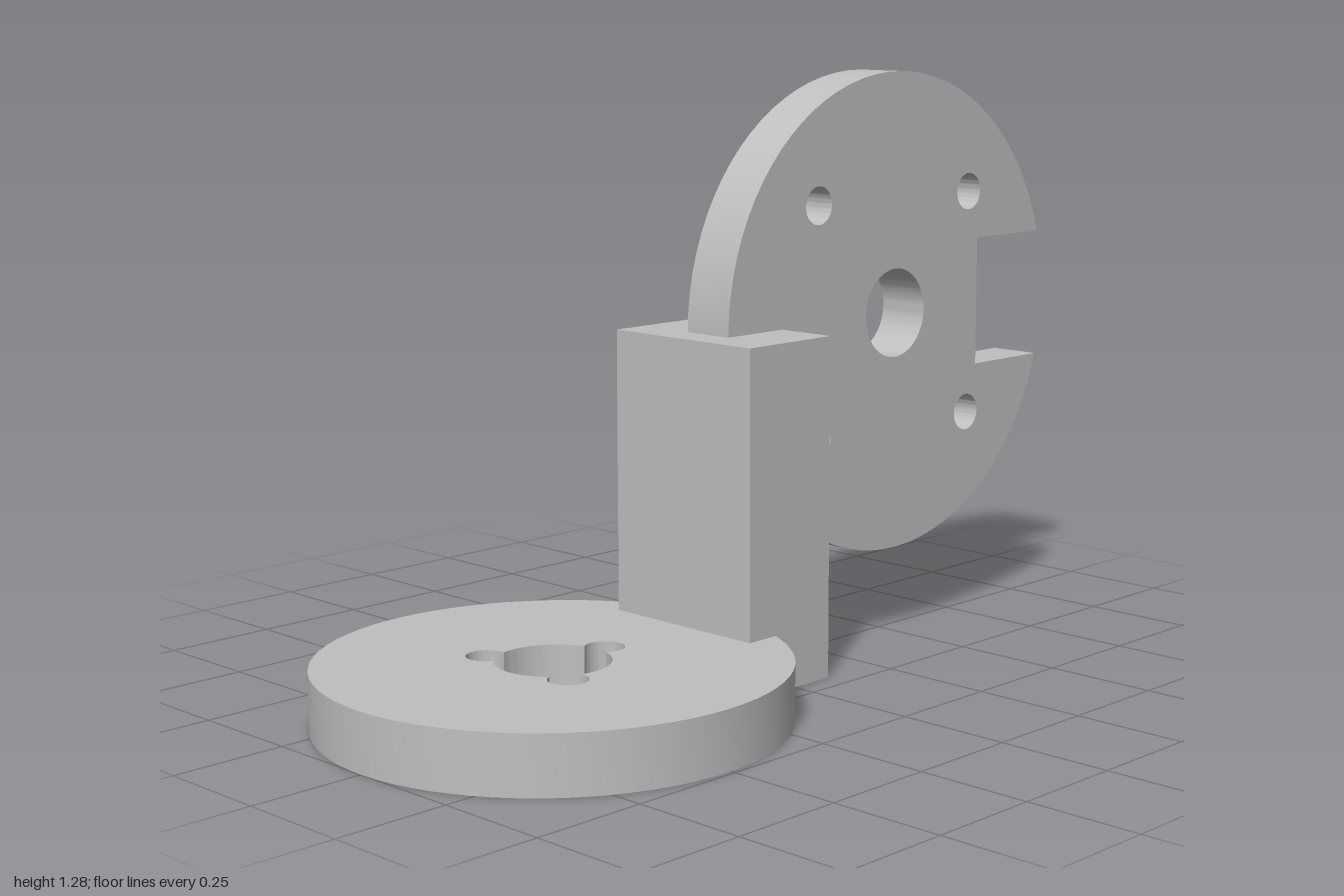
import * as THREE from 'three';
import { toCreasedNormals } from 'three/addons/utils/BufferGeometryUtils.js';

const TAU = Math.PI * 2;

// Circular hole outline
function circleHole(x, y, r) {
  const path = new THREE.Path();
  path.absarc(x, y, r, 0, TAU, true);
  return path;
}

// Round hole with three small round lobes around its rim
function lobedHole(R, r, d) {
  const path = new THREE.Path();
  const a = Math.acos((R * R + d * d - r * r) / (2 * R * d));
  const b = Math.PI - Math.acos((r * r + d * d - R * R) / (2 * r * d));
  for (let i = 0; i < 3; i++) {
    const t = (i * TAU) / 3;
    path.absarc(d * Math.cos(t), d * Math.sin(t), r, t - b, t + b, false);
    path.absarc(0, 0, R, t + a, t + TAU / 3 - a, false);
  }
  path.closePath();
  return path;
}

// Plate of even thickness with smooth curved walls and sharp edges
function plate(shape, depth) {
  const geometry = new THREE.ExtrudeGeometry(shape, { depth, bevelEnabled: false, curveSegments: 36 });
  return toCreasedNormals(geometry, 0.5);
}

export function createModel() {
  const group = new THREE.Group();
  const grey = new THREE.MeshStandardMaterial({ color: 0xbfbfbf });
  grey.name = 'light grey';

  const add = (name, geometry, x, y, z) => {
    const mesh = new THREE.Mesh(geometry, grey);
    mesh.name = name;
    mesh.position.set(x, y, z);
    group.add(mesh);
  };

  // Flat disc with the lobed hole
  const base = new THREE.Shape();
  base.absarc(0, 0, 0.49, 0, TAU, false);
  base.holes.push(lobedHole(0.12, 0.042, 0.143));
  add('baseDisc', plate(base, 0.124).rotateX(-Math.PI / 2), -0.51, 0, 0);

  // Upright block joining both discs
  add('connectingBlock', new THREE.BoxGeometry(0.245, 0.742, 0.394), -0.0175, 0.371, 0);

  // Upright disc with edge notch, centre hole and four bolt holes
  const R = 0.54, notch = 0.148;
  const edge = Math.asin(notch / R);
  const disc = new THREE.Shape();
  disc.absarc(0, 0, R, edge, TAU - edge, false);
  disc.lineTo(0.292, -notch);
  disc.lineTo(0.292, notch);
  disc.closePath();
  disc.holes.push(circleHole(0, 0, 0.1));
  for (const sx of [-1, 1])
    for (const sy of [-1, 1]) disc.holes.push(circleHole(sx * 0.258, sy * 0.258, 0.042));
  add('uprightDisc', plate(disc, 0.12), 0.478, 0.742, -0.06);

  return group;
}
